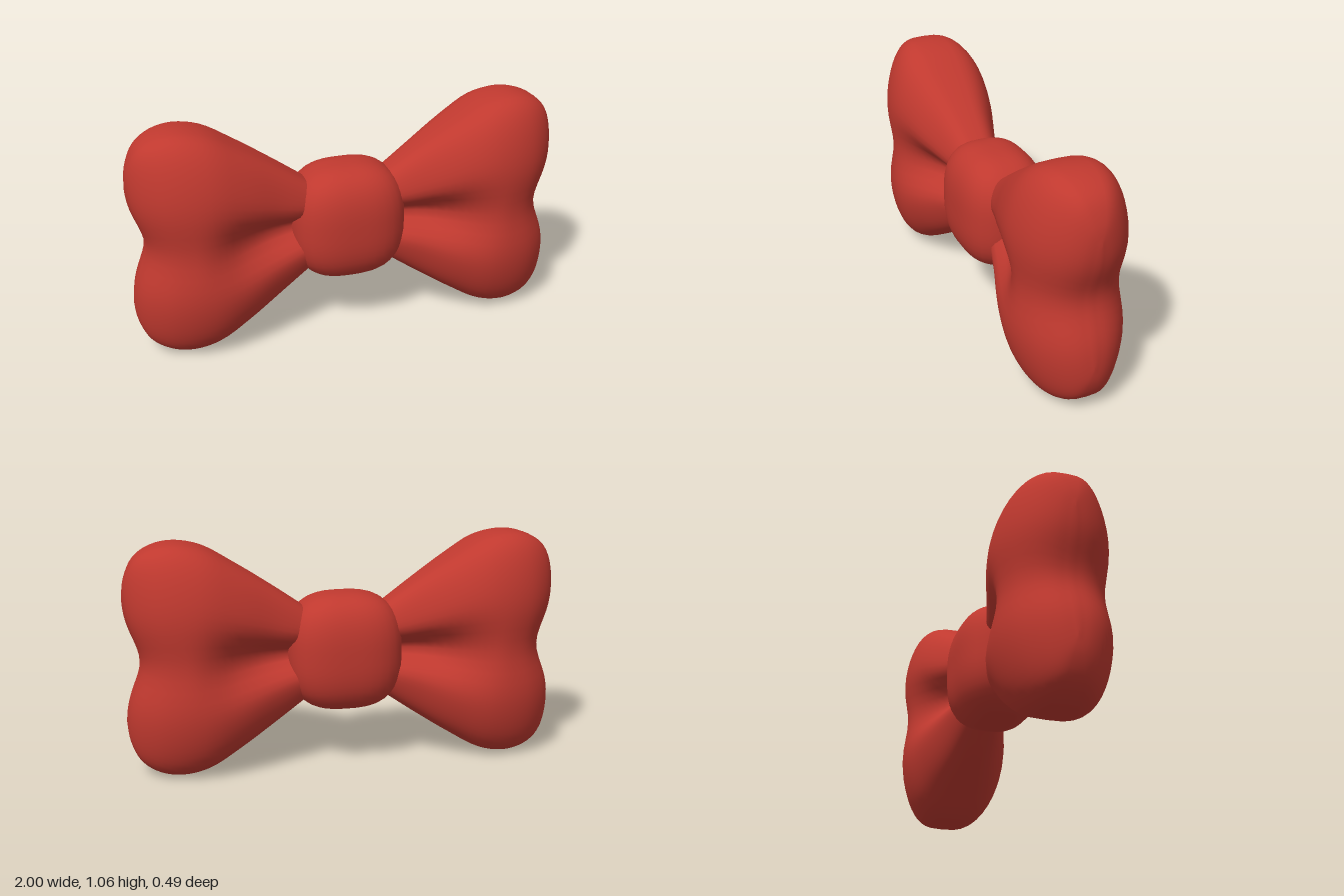
import * as THREE from 'three';
import { mergeVertices } from 'three/addons/utils/BufferGeometryUtils.js';

const CENTER_Y = 0.535;

// Cross-section stations of one wing: x, half height, half depth
const STATIONS = [
  [0.12, 0.17, 0.1], [0.2, 0.225, 0.12], [0.33, 0.315, 0.16], [0.5, 0.425, 0.225],
  [0.64, 0.505, 0.255], [0.76, 0.53, 0.246], [0.86, 0.515, 0.212], [0.94, 0.465, 0.15],
  [0.985, 0.375, 0.08], [1.0, 0.28, 0],
];

// Puffed fabric wing, pinched along its middle and notched at its outer end
function wingGeometry() {
  const rings = 36, sides = 64;
  const curve = new THREE.CatmullRomCurve3(STATIONS.map((s) => new THREE.Vector3(...s)));
  const positions = [], index = [];
  for (let i = 0; i <= rings; i++) {
    const p = curve.getPoint(i / rings);
    const k = THREE.MathUtils.smoothstep(p.x, 0.2, 0.75);
    const pinch = THREE.MathUtils.lerp(0.85, 0.14, k);
    const width = THREE.MathUtils.lerp(0.06, 0.16, k);
    const notch = 0.07 * Math.max(0, (p.x - 0.5) / 0.5) ** 2;
    const depth = i === rings ? 0 : p.z * 1.04;
    for (let j = 0; j < sides; j++) {
      const a = (j / sides) * Math.PI * 2;
      const y = p.y * Math.sin(a), c = Math.cos(a);
      const groove = 1 - pinch * Math.exp(-((y / width) ** 2));
      const z = depth * Math.sign(c) * Math.abs(c) ** 0.6 * groove;
      positions.push(p.x - notch * Math.exp(-((y / 0.15) ** 2)), y, z);
      if (i === rings) continue;
      const b = i * sides + j, d = i * sides + ((j + 1) % sides);
      index.push(b, b + sides, d, d, b + sides, d + sides);
    }
  }
  let g = new THREE.BufferGeometry();
  g.setAttribute('position', new THREE.Float32BufferAttribute(positions, 3));
  g.setIndex(index);
  g = mergeVertices(g, 1e-4);
  g.computeVertexNormals();
  return g;
}

// Rounded, slightly boxy knot: a sphere pushed out towards a box
function knotGeometry() {
  let g = new THREE.SphereGeometry(1, 40, 28);
  g.deleteAttribute('uv');
  g.deleteAttribute('normal');
  const pos = g.attributes.position, v = new THREE.Vector3(), power = 2.8;
  for (let i = 0; i < pos.count; i++) {
    v.fromBufferAttribute(pos, i);
    const n = (Math.abs(v.x) ** power + Math.abs(v.y) ** power + Math.abs(v.z) ** power) ** (1 / power);
    v.divideScalar(n);
    pos.setXYZ(i, v.x * 0.265, v.y * 0.272, v.z * 0.205);
  }
  g = mergeVertices(g, 1e-4);
  g.computeVertexNormals();
  return g;
}

export function createModel() {
  const group = new THREE.Group();
  group.name = 'bow';
  const red = new THREE.MeshStandardMaterial({ color: 0xc0392f });
  red.name = 'red fabric';

  const add = (name, geometry, turn = 0) => {
    const mesh = new THREE.Mesh(geometry, red);
    mesh.name = name;
    mesh.position.y = CENTER_Y;
    mesh.rotation.y = turn;
    group.add(mesh);
  };

  const wing = wingGeometry();
  add('leftWing', wing);
  add('rightWing', wing, Math.PI);
  add('knot', knotGeometry());
  return group;
}
